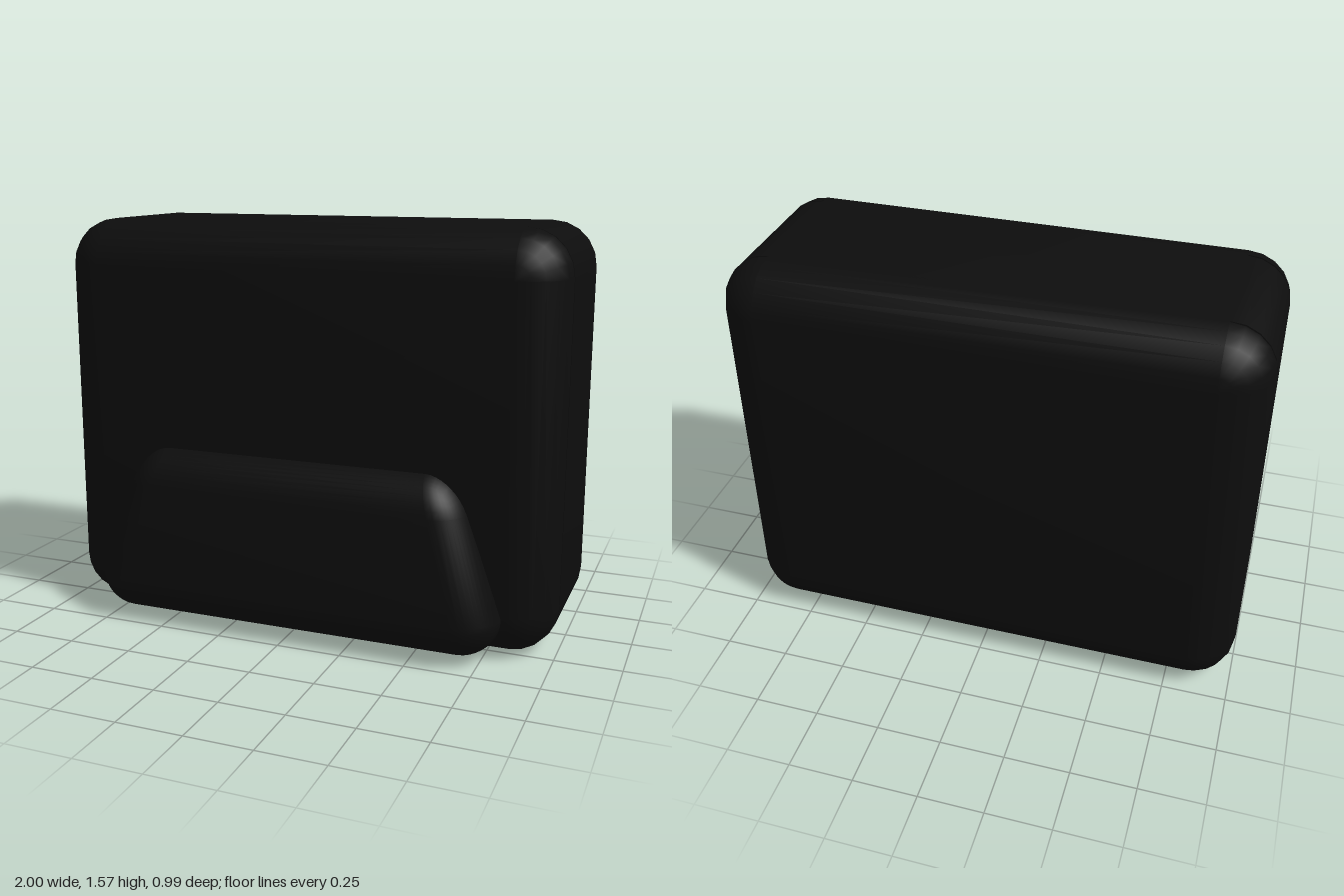
import * as THREE from 'three';
import { RoundedBoxGeometry } from 'three/addons/geometries/RoundedBoxGeometry.js';
import { toCreasedNormals } from 'three/addons/utils/BufferGeometryUtils.js';

const W = 1, H = 1.57, R = 0.175, BACK = -0.49, FRONT = 0.35, STEPS = 5;

// Rounded shell lofted along z; every ring is the same four corner centres with a varying radius.
function shellGeometry() {
  const rings = []; // [z, corner radius, is groove floor]
  for (let i = 0; i <= STEPS; i++) {
    const a = (i / STEPS) * Math.PI / 2;
    rings.push([BACK + R * (1 - Math.cos(a)), R * Math.sin(a), false]);
  }
  const mid = [];
  for (const z of [BACK + R, FRONT - R]) {
    mid.push([z - 0.005, R, false], [z, R, true], [z + 0.005, R, false]);
  }
  const front = rings.map(([z, r]) => [FRONT + BACK - z, r, false]).reverse();
  const all = [...rings.slice(0, -1), ...mid, ...front.slice(1)];

  const pos = [], index = [];
  const corners = [[1, 1], [-1, 1], [-1, 0], [1, 0]];
  for (const [z, r, groove] of all) {
    corners.forEach(([sx, top], q) => {
      for (let k = 0; k <= STEPS; k++) {
        const a = (q + k / STEPS) * Math.PI / 2;
        // the seam runs round the sides and the base and fades out on the top
        const rad = groove && Math.sin(a) < 0.99 ? r - 0.06 : r;
        pos.push(sx * (W - R) + rad * Math.cos(a), (top ? H - R : R) + rad * Math.sin(a), z);
      }
    });
  }
  const n = 4 * (STEPS + 1), last = (all.length - 1) * n;
  for (let i = 0; i < all.length - 1; i++) {
    for (let j = 0; j < n; j++) {
      const k = (j + 1) % n, a = i * n, b = a + n;
      index.push(a + j, a + k, b + k, a + j, b + k, b + j);
    }
  }
  // flat back and front faces
  const c = pos.length / 3;
  pos.push(0, H / 2, BACK, 0, H / 2, FRONT);
  for (let j = 0; j < n; j++) {
    const k = (j + 1) % n;
    index.push(c, k, j, c + 1, last + j, last + k);
  }
  const g = new THREE.BufferGeometry();
  g.setAttribute('position', new THREE.Float32BufferAttribute(pos, 3));
  g.setIndex(index);
  return toCreasedNormals(g, 0.6);
}

// Rounded box narrowed and sloped back towards its top.
function pocketGeometry() {
  const y0 = 0.02, y1 = 0.7, z0 = 0.1, z1 = 0.495;
  const g = new RoundedBoxGeometry(1.64, y1 - y0, z1 - z0, 5, 0.15);
  g.translate(0, (y0 + y1) / 2, (z0 + z1) / 2);
  const p = g.attributes.position;
  for (let i = 0; i < p.count; i++) {
    const t = Math.max(0, p.getY(i) - 0.17);
    p.setX(i, p.getX(i) * (1 - 0.42 * t));
    p.setZ(i, p.getZ(i) - 0.1 * t);
  }
  return toCreasedNormals(g, 0.6);
}

export function createModel() {
  const group = new THREE.Group();
  const black = new THREE.MeshStandardMaterial({ color: 0x0d0d0d });
  const add = (name, geometry) => {
    const mesh = new THREE.Mesh(geometry, black);
    mesh.name = name;
    group.add(mesh);
  };
  add('caseBody', shellGeometry());
  add('frontPocket', pocketGeometry());
  return group;
}
